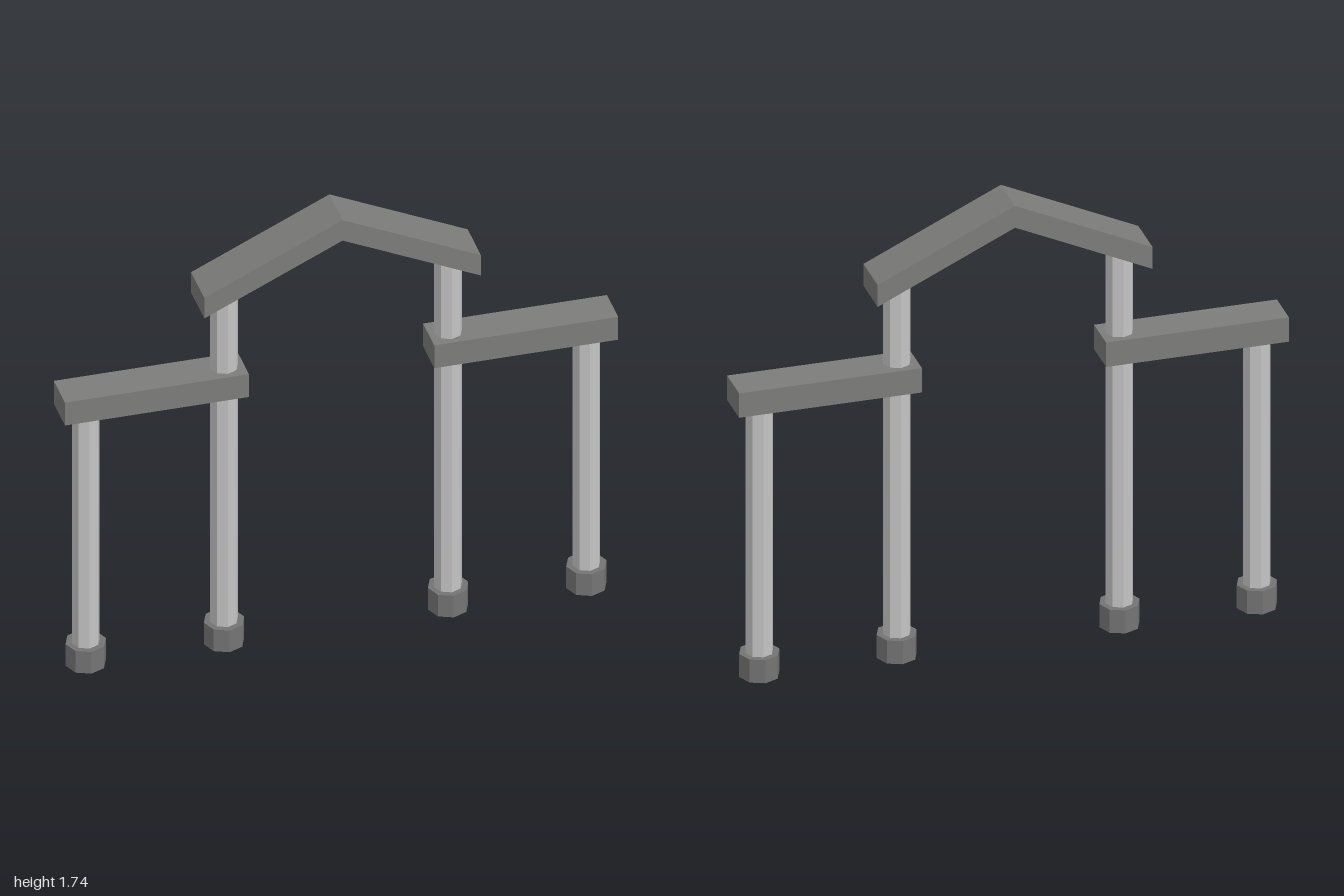
import * as THREE from 'three';

const beamGrey = new THREE.MeshStandardMaterial({ color: 0x7c7c7a, flatShading: true });
beamGrey.name = 'beamGrey';
const columnGrey = new THREE.MeshStandardMaterial({ color: 0xc4c4c4, flatShading: true });
columnGrey.name = 'columnGrey';
const baseGrey = new THREE.MeshStandardMaterial({ color: 0x747474, flatShading: true, side: THREE.DoubleSide });
baseGrey.name = 'baseGrey';

const BASE_HEIGHT = 0.09;

function addMesh(parent, name, geometry, material, x = 0, y = 0, z = 0) {
  const mesh = new THREE.Mesh(geometry, material);
  mesh.name = name;
  mesh.position.set(x, y, z);
  parent.add(mesh);
}

// Eight-sided column standing on a wider eight-sided base
function makePost(name, x, top) {
  const post = new THREE.Group();
  post.name = name;
  post.position.x = x;

  // Base is a cap, open underneath
  const profile = [[0.073, 0], [0.073, BASE_HEIGHT], [0, BASE_HEIGHT]].map(([r, y]) => new THREE.Vector2(r, y));
  addMesh(post, 'base', new THREE.LatheGeometry(profile, 8), baseGrey);

  const height = top - BASE_HEIGHT;
  addMesh(post, 'column', new THREE.CylinderGeometry(0.05, 0.05, height, 8), columnGrey, 0, BASE_HEIGHT + height / 2);
  return post;
}

export function createModel() {
  const model = new THREE.Group();
  model.name = 'gateway';

  for (const [side, s] of [['left', 1], ['right', -1]]) {
    model.add(makePost(side + 'InnerPost', s * 0.405, 1.48));
    model.add(makePost(side + 'OuterPost', s * 0.905, 1.06));
    // Level beam over each side opening
    addMesh(model, side + 'Beam', new THREE.BoxGeometry(0.665, 0.095, 0.144), beamGrey, s * 0.6675, 1.0975);
  }

  // Gabled beam over the middle opening
  const gable = new THREE.Shape([
    [-0.5, 1.415], [0, 1.65], [0.5, 1.415], [0.5, 1.5], [0, 1.735], [-0.5, 1.5],
  ].map(([x, y]) => new THREE.Vector2(x, y)));
  const gableGeometry = new THREE.ExtrudeGeometry(gable, { depth: 0.17, bevelEnabled: false });
  addMesh(model, 'gableBeam', gableGeometry, beamGrey, 0, 0, -0.085);

  return model;
}
